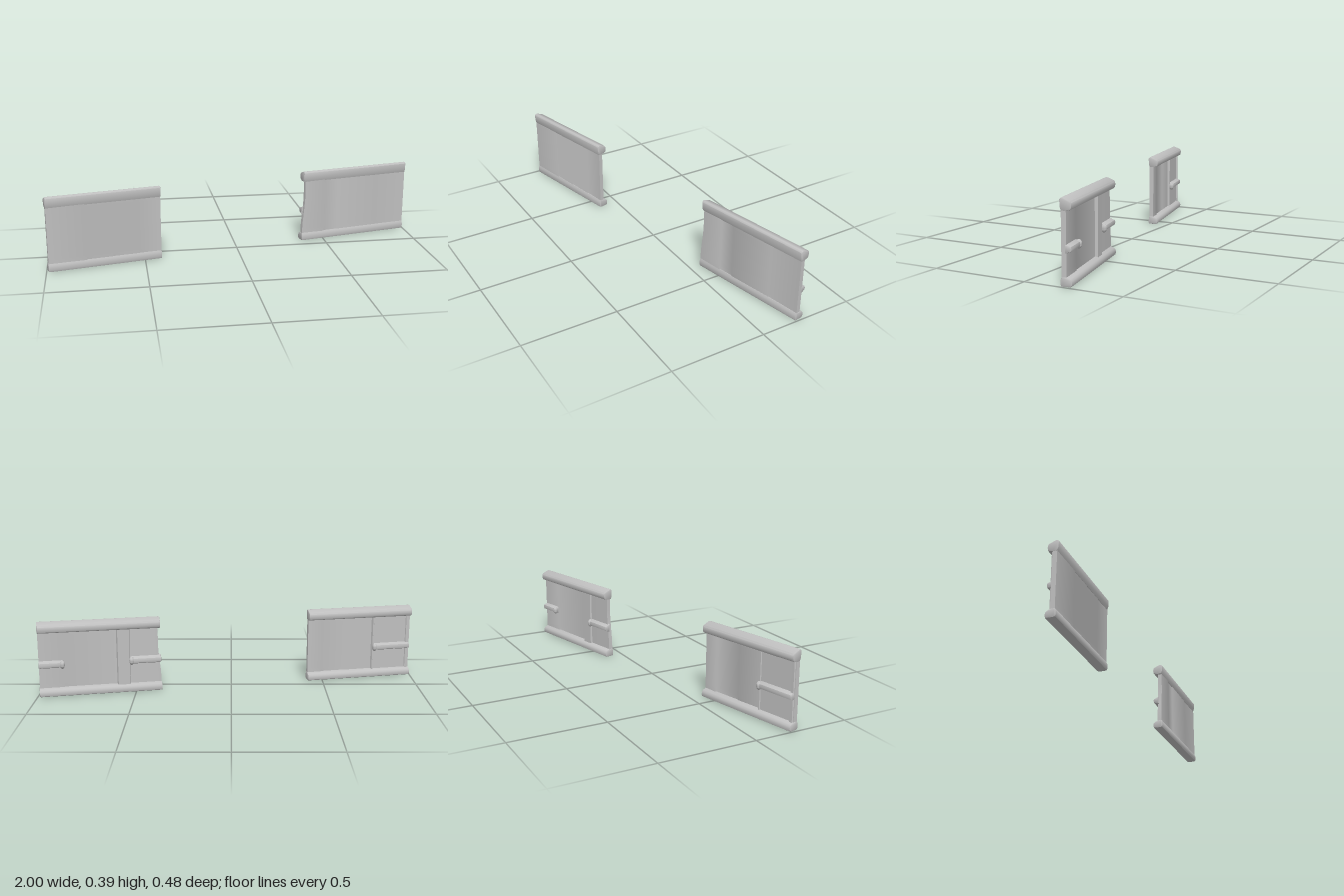
import * as THREE from 'three';
import { toCreasedNormals } from 'three/addons/utils/BufferGeometryUtils.js';

const metal = new THREE.MeshStandardMaterial({ color: 0xc0c0c0 });
metal.name = 'plainGrey';

// Cross-sections as [depth, height]; positive depth faces the front
const TOP_RAIL = [[0.021, 0.335], [0.027, 0.352], [0.028, 0.384], [0.022, 0.391], [0.014, 0.392],
  [-0.022, 0.378], [-0.027, 0.37], [-0.028, 0.357], [-0.025, 0.343], [-0.018, 0.338], [0, 0.334]];
const BOTTOM_RAIL = [[0.021, 0.044], [0.026, 0.034], [0.028, 0.012], [0.024, 0.002], [0.016, 0],
  [-0.018, 0], [-0.025, 0.004], [-0.028, 0.014], [-0.026, 0.028], [-0.018, 0.036], [0, 0.044]];
const BAR = [[0.006, 0.145], [0.006, 0.192], [-0.01, 0.184], [-0.024, 0.179], [-0.027, 0.168],
  [-0.024, 0.157], [-0.01, 0.152]];

const shapeOf = (pts) => new THREE.Shape(pts.map(([x, y]) => new THREE.Vector2(x, y)));

function addMesh(group, name, geometry) {
  const mesh = new THREE.Mesh(toCreasedNormals(geometry, 0.75), metal);
  mesh.name = name;
  group.add(mesh);
}

// Sweep a cross-section along the panel with softened ends
function sweep(profile, x0, x1, bevel = 0.005) {
  const g = new THREE.ExtrudeGeometry(shapeOf(profile.map(([w, y]) => [-w, y])), {
    depth: x1 - x0 - 2 * bevel, bevelThickness: bevel, bevelSize: bevel * 0.7,
    bevelOffset: -bevel * 0.7, bevelSegments: 2,
  });
  return g.rotateY(Math.PI / 2).translate(x0 + bevel, 0, 0);
}

// Upright sheet from its front and back outlines, given as [fraction along, depth]
function sheet(length, front, back, dent) {
  const plan = [...front, ...[...back].reverse()].map(([u, w]) => [(u - 0.5) * length, -w]);
  const g = new THREE.ExtrudeGeometry(shapeOf(plan), { depth: 0.336, steps: 8, bevelEnabled: false });
  g.rotateX(-Math.PI / 2).translate(0, 0.025, 0);
  const p = g.attributes.position;
  for (let i = 0; i < p.count; i++) {
    // Pull the worn end inwards towards the top
    const k = Math.max(0, 1 - (p.getX(i) / length + 0.5) / 0.15);
    p.setX(i, p.getX(i) + dent * k * THREE.MathUtils.smoothstep(p.getY(i), 0.05, 0.26));
  }
  return g;
}

function makePanel({ name, length, x, z, front, back, battens, bars, dent }) {
  const panel = new THREE.Group();
  panel.name = name;
  const at = (u) => (u - 0.5) * length;
  const h = length / 2;
  addMesh(panel, 'topRail', sweep(TOP_RAIL, -h + dent * 0.4, h));
  addMesh(panel, 'bottomRail', sweep(BOTTOM_RAIL, -h, h));
  addMesh(panel, 'sheet', sheet(length, front, back, dent));
  // Upright battens on the back
  for (const [u0, u1, w] of battens) {
    const a = at(u0), b = at(u1), s = 0.006;
    const g = new THREE.ExtrudeGeometry(shapeOf([[a, -0.006], [b, -0.006], [b - s, -w], [a + s, -w]]),
      { depth: 0.32, bevelEnabled: false });
    addMesh(panel, 'backBatten', g.rotateX(-Math.PI / 2).translate(0, 0.03, 0));
  }
  // Horizontal latch bars, each with a small knuckle at its inner end
  for (const [u0, u1, knuckle] of bars) {
    addMesh(panel, 'latchBar', sweep(BAR, at(u0), at(u1), 0.006));
    const knob = new THREE.SphereGeometry(1, 16, 10);
    knob.scale(0.013, 0.022, 0.015).translate(at(knuckle), 0.168, -0.017);
    addMesh(panel, 'latchKnuckle', knob);
  }
  panel.position.set(x, 0, z);
  panel.rotation.y = 0.212;
  return panel;
}

export function createModel() {
  const model = new THREE.Group();
  model.name = 'barrierPanels';
  model.add(makePanel({
    name: 'rightPanel', length: 0.59, x: -0.705, z: 0.148, dent: 0,
    front: [[0.003, 0.021], [0.33, 0.022], [0.337, 0.019], [0.563, 0.021], [0.57, 0.018],
      [0.797, 0.021], [0.804, 0.018], [0.997, 0.021]],
    back: [[0.003, -0.002], [0.365, -0.003], [0.375, 0.004], [0.61, 0.001], [0.62, 0.005],
      [0.865, 0.002], [0.875, -0.003], [0.997, -0.001]],
    battens: [[0.003, 0.05, -0.008], [0.35, 0.38, -0.008]],
    bars: [[0.01, 0.36, 0.355]],
  }));
  model.add(makePanel({
    name: 'leftPanel', length: 0.637, x: 0.68, z: -0.147, dent: 0.016,
    front: [[0.003, 0.021], [0.21, 0.022], [0.218, 0.018], [0.335, 0.017], [0.345, 0.021],
      [0.715, 0.02], [0.722, 0.018], [0.997, 0.021]],
    back: [[0.003, -0.001], [0.26, -0.001], [0.375, 0.004], [0.79, 0.003], [0.8, -0.002], [0.997, -0.002]],
    battens: [[0.255, 0.37, -0.01]],
    bars: [[0.005, 0.26, 0.25], [0.8, 0.998, 0.81]],
  }));
  return model;
}
